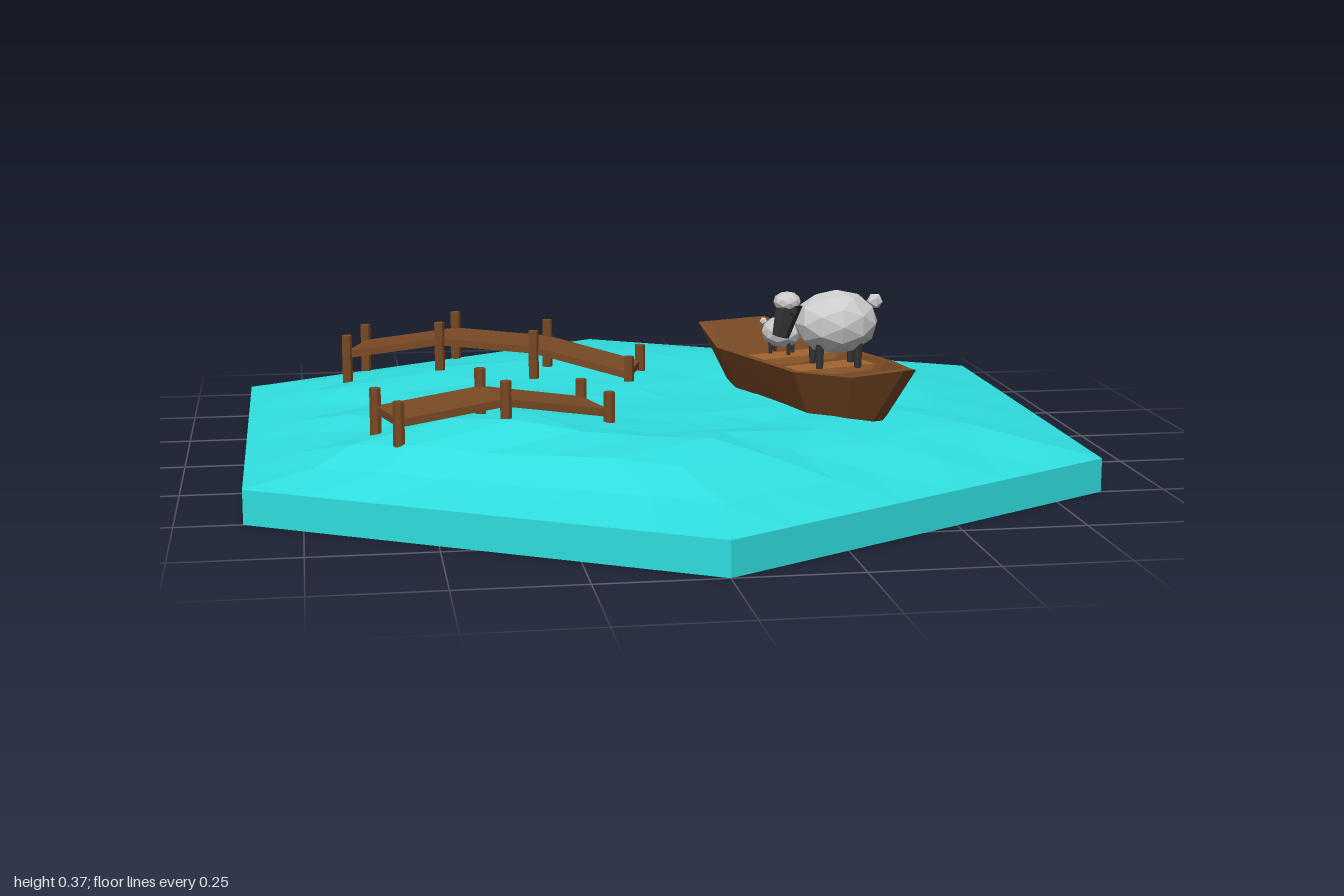
import * as THREE from 'three';

const mat = (color, side = THREE.FrontSide) => new THREE.MeshStandardMaterial({ color, flatShading: true, side });
const WATER = mat(0x30dfe0), WOOD = mat(0x7a4a25), BENCH = mat(0xa0652f), WOOL = mat(0xcccccc), DARK = mat(0x333333);

function add(parent, name, geometry, material, x = 0, y = 0, z = 0) {
  const mesh = new THREE.Mesh(geometry, material);
  mesh.name = name;
  mesh.position.set(x, y, z);
  parent.add(mesh);
  return mesh;
}

function group(parent, name, x = 0, y = 0, z = 0, yaw = 0) {
  const g = new THREE.Group();
  g.name = name;
  g.position.set(x, y, z);
  g.rotation.y = yaw;
  parent.add(g);
  return g;
}

function fromTriangles(points) {
  const g = new THREE.BufferGeometry();
  g.setAttribute('position', new THREE.Float32BufferAttribute(points.flat(), 3));
  g.computeVertexNormals();
  return g;
}

// Hexagonal water tile with a faceted, swelling top
function addWater(parent) {
  const EDGE = 0.07, N = 7;
  const bump = (x, z, cx, cz, r) => Math.exp(-((x - cx) ** 2 + (z - cz) ** 2) / (r * r));
  const surface = (x0, z0) => {
    const d = Math.max(Math.abs(x0), Math.abs(x0) / 2 + Math.abs(z0) * 0.866) / 0.866;
    const k = Math.min(1, (1 - d) / 0.36);
    const x = x0 + 0.045 * k * Math.sin(37 * x0 + 23 * z0 + 1);
    const z = z0 + 0.045 * k * Math.sin(29 * x0 - 41 * z0 + 2);
    const swell = 0.054 + 0.045 * bump(x, z, -0.38, 0.4, 0.24) + 0.03 * bump(x, z, -0.02, 0.62, 0.2)
      + 0.008 * Math.sin(13 * x + 7 * z) * Math.sin(11 * z - 5 * x);
    return [x, EDGE + k * swell, z];
  };
  const tris = [];
  for (let side = 0; side < 6; side++) {
    const a0 = side * Math.PI / 3, a1 = a0 + Math.PI / 3;
    const p = (a, b) => surface((a * Math.sin(a0) + b * Math.sin(a1)) / N, (a * Math.cos(a0) + b * Math.cos(a1)) / N);
    for (let a = 0; a < N; a++) for (let b = 0; a + b < N; b++) {
      tris.push(p(a, b), p(a + 1, b), p(a, b + 1));
      if (a + b < N - 1) tris.push(p(a + 1, b), p(a + 1, b + 1), p(a, b + 1));
    }
  }
  const water = group(parent, 'water');
  add(water, 'waterSurface', fromTriangles(tris), WATER);
  add(water, 'tileSides', new THREE.CylinderGeometry(1, 1, EDGE, 6, 1, true), WATER, 0, EDGE / 2);
  const base = new THREE.CircleGeometry(1, 6).rotateX(Math.PI / 2).rotateY(Math.PI / 6);
  add(water, 'tileBase', base, WATER);
}

// Arched footbridge: a bent deck with a pair of posts at every station
function addBridge(parent, name, x, z, yaw, length, heights) {
  const bridge = group(parent, name, x, 0, z, yaw);
  const n = heights.length - 1, half = 0.073;
  const deck = new THREE.BoxGeometry(length, 0.016, half * 2, n, 1, 1);
  const pos = deck.attributes.position;
  for (let i = 0; i < pos.count; i++) {
    const station = Math.round((pos.getX(i) / length + 0.5) * n);
    pos.setY(i, pos.getY(i) - 0.008 + heights[station]);
  }
  deck.translate(length / 2, 0, 0);
  add(bridge, 'deck', deck, WOOD);
  heights.forEach((h, i) => {
    for (const s of [-1, 1]) {
      add(bridge, 'post', new THREE.CylinderGeometry(0.012, 0.012, 0.11, 7), WOOD, i * length / n, h - 0.018, s * half);
    }
  });
}

// Rowing boat: rings from outer bottom over the rim to the inner floor
function addBoat(parent) {
  const boat = group(parent, 'boat', 0.345, 0, 0.04, 0.337);
  // rim z, rim half width, rim height, bottom z, bottom half width
  const stations = [
    [-0.32, 0.088, 0.245, -0.24, 0.055],
    [-0.16, 0.13, 0.215, -0.15, 0.085],
    [0.16, 0.128, 0.215, 0.15, 0.085],
    [0.31, 0.08, 0.225, 0.25, 0.05],
    [0.405, 0.014, 0.25, 0.29, 0.012],
  ];
  const around = f => [...stations.map(s => f(s, 1)), ...stations.slice().reverse().map(s => f(s, -1))];
  const rings = [
    around(([, , , z, w], m) => [m * w, 0.12, z]),
    around(([z, w, y], m) => [m * w, y, z]),
    around(([z, w, y], m) => [m * w * 0.87, y, z * 0.95]),
    around(([, , , z, w], m) => [m * w * 0.92, 0.15, z * 0.95]),
  ];
  const tris = [], count = rings[0].length;
  for (let i = 0; i < count; i++) {
    const j = (i + 1) % count;
    for (let r = 0; r < 3; r++) {
      const a = rings[r], b = rings[r + 1];
      tris.push(a[i], b[j], a[j], a[i], b[i], b[j]);
    }
    tris.push([0, 0.12, 0], rings[0][i], rings[0][j]);
    tris.push([0, 0.15, 0], rings[3][j], rings[3][i]);
  }
  add(boat, 'hull', fromTriangles(tris), WOOD);
  for (const z of [-0.065, 0.085]) {
    add(boat, 'bench', new THREE.BoxGeometry(0.215, 0.014, 0.065), BENCH, 0, 0.198, z);
  }
}

// Sheep facing +x with its feet at y = 0
function addSheep(parent, name, x, z, yaw, scale) {
  const sheep = group(parent, name, x, 0.205, z, yaw);
  sheep.scale.setScalar(scale);
  const ball = (part, material, r, p, detail = 0) =>
    add(sheep, part, new THREE.IcosahedronGeometry(1, detail).scale(...r), material, ...p);
  ball('body', WOOL, [0.092, 0.07, 0.077], [0, 0.095, 0], 1);
  ball('woolCap', WOOL, [0.03, 0.022, 0.032], [0.108, 0.142, 0], 1);
  ball('tail', WOOL, [0.018, 0.018, 0.018], [-0.085, 0.138, 0]);
  const head = add(sheep, 'head', new THREE.CylinderGeometry(0.03, 0.019, 0.075, 7), DARK, 0.113, 0.103, 0);
  head.rotation.z = 0.25;
  for (const s of [-1, 1]) {
    ball('ear', DARK, [0.008, 0.009, 0.018], [0.102, 0.125, s * 0.036]);
    for (const lx of [-0.042, 0.042]) {
      add(sheep, 'leg', new THREE.CylinderGeometry(0.01, 0.008, 0.06, 6), DARK, lx, 0.03, s * 0.032);
    }
  }
}

export function createModel() {
  const model = new THREE.Group();
  model.name = 'lakeTile';
  addWater(model);
  addBridge(model, 'longBridge', -0.62, -0.43, -0.324, 0.66, [0.175, 0.212, 0.2, 0.148]);
  addBridge(model, 'shortBridge', -0.58, 0.37, 0.284, 0.453, [0.185, 0.207, 0.165]);
  addBoat(model);
  addSheep(model, 'sheep', 0.395, 0.12, Math.PI, 1);
  addSheep(model, 'lamb', 0.31, -0.038, -0.5, 0.5);
  return model;
}
